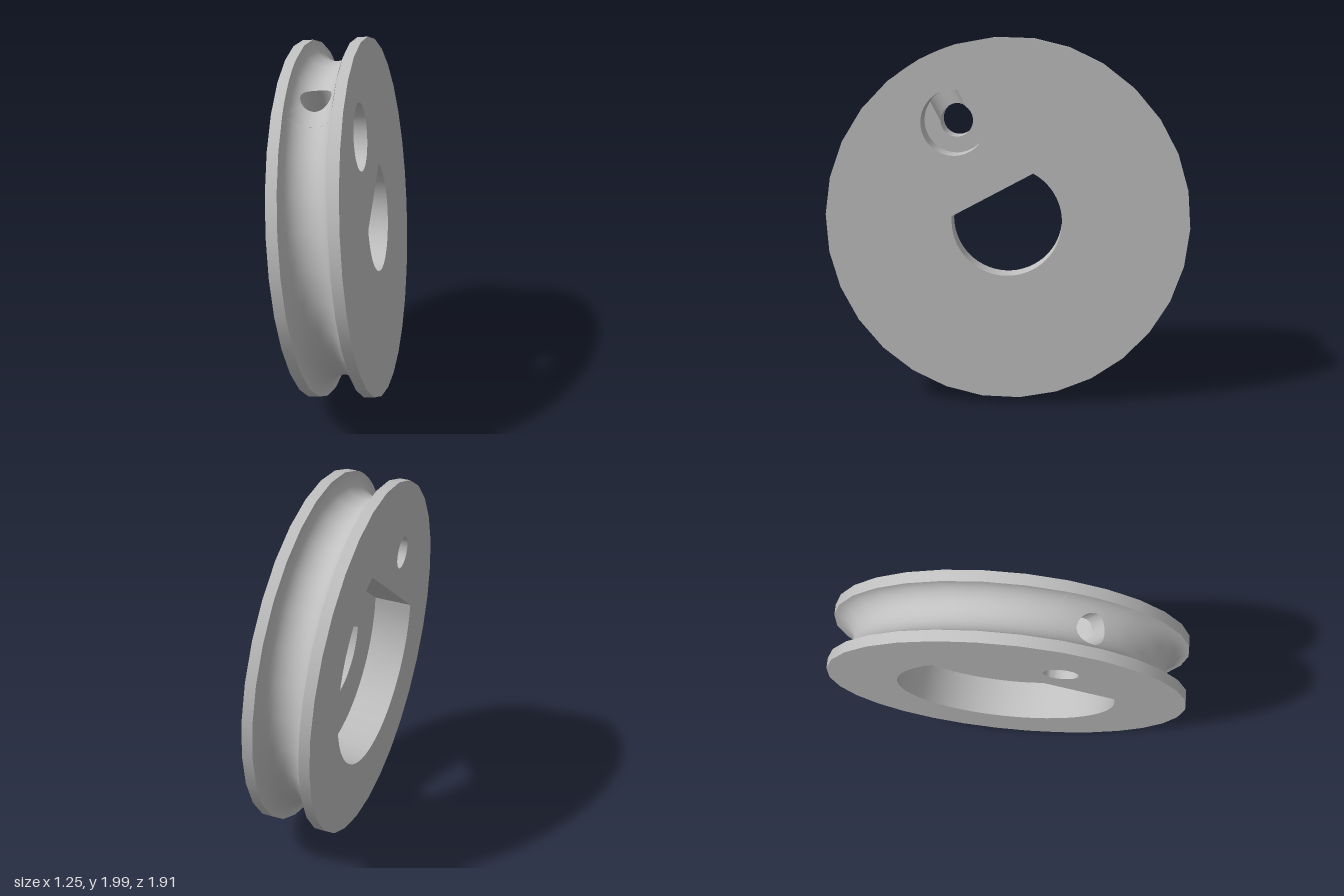
import * as THREE from 'three';
import { toCreasedNormals } from 'three/addons/utils/BufferGeometryUtils.js';

const R = 0.985, HALF = 0.18, GROOVE = 0.122, SIDES = 30;
const STEP = (Math.PI * 2) / SIDES;
const POCKET_Y = 0.603, POCKET_R = 0.177, PIN_R = 0.09, CORD_R = 0.08;
const FLOOR_Z = 0.038;

// points along an arc centred on (0, cy)
function arc(r, cy, a0, a1, n) {
  return Array.from({ length: n + 1 }, (_, i) => {
    const a = a0 + ((a1 - a0) * i) / n;
    return new THREE.Vector2(r * Math.cos(a), cy + r * Math.sin(a));
  });
}
const circle = (r, cy, n) => arc(r, cy, Math.PI / 2, Math.PI * 2.5, n).slice(0, -1);

// circle cut by a flat at y = h
function dShape(r, h) {
  const a = Math.asin(h / r);
  return arc(r, 0, Math.PI - a, Math.PI * 2 + a, 40);
}

// skin through closed loops of 3D points, facing inwards
function loft(loops) {
  const n = loops[0].length, idx = [];
  for (let k = 0; k < loops.length - 1; k++) {
    for (let i = 0; i < n; i++) {
      const j = (i + 1) % n, p = k * n, q = p + n;
      idx.push(p + i, q + i, p + j, p + j, q + i, q + j);
    }
  }
  const geo = new THREE.BufferGeometry().setFromPoints(loops.flat());
  geo.setIndex(idx);
  return toCreasedNormals(geo, 0.6);
}

// wall of a hole; z limits are numbers or functions of the outline point
function wall(points, z0, z1) {
  const at = (z) => points.map((p) => new THREE.Vector3(p.x, p.y, typeof z === 'function' ? z(p) : z));
  return loft([at(z0), at(z1)]);
}

// flat plate with holes
function plate(outline, holes, z, flip = false) {
  const shape = new THREE.Shape(outline);
  holes.forEach((h) => shape.holes.push(new THREE.Path(h)));
  const geo = new THREE.ShapeGeometry(shape);
  if (flip) {
    geo.index.array.reverse();
    geo.computeVertexNormals();
  }
  return geo.translate(0, 0, z);
}

// half-height of the cord bore where it cuts a hole wall on its outer side
const boreCut = (p) =>
  p.y > POCKET_Y && Math.abs(p.x) < CORD_R ? Math.sqrt(CORD_R ** 2 - p.x ** 2) : 0;

// point on the groove: angle phi round the wheel, tau across the groove
function groovePoint(phi, tau) {
  const r = R - GROOVE * Math.cos(tau);
  return new THREE.Vector3(r * Math.sin(phi), r * Math.cos(phi), GROOVE * Math.sin(tau));
}

function ring(profile, start = 0, length = Math.PI * 2, segments = SIDES) {
  return new THREE.LatheGeometry(profile, segments, start, length).rotateX(-Math.PI / 2);
}

export function createModel() {
  const metal = new THREE.MeshStandardMaterial({ color: 0xc0c0c0, side: THREE.DoubleSide });
  metal.name = 'plain grey';
  const wheel = new THREE.Group();
  wheel.name = 'pulleyWheel';
  const add = (name, geo) => {
    const mesh = new THREE.Mesh(geo, metal);
    mesh.name = name;
    wheel.add(mesh);
  };

  const rim = circle(R, 0, SIDES);
  const shaft = dShape(0.298, 0.164);
  const hub = dShape(0.6, 0.375);
  const pocket = circle(POCKET_R, POCKET_Y, 60);
  const pin = circle(PIN_R, POCKET_Y, 60);

  // side faces
  add('pocketSideFace', plate(rim, [shaft, pocket], HALF));
  add('hubSideFace', plate(rim, [hub, pin], -HALF, true));

  // flat lips on both edges of the rim
  for (const [name, y0, y1] of [['hubSideLip', GROOVE, HALF], ['pocketSideLip', -HALF, -GROOVE]]) {
    add(name, ring([new THREE.Vector2(R, y0), new THREE.Vector2(R, y1)]));
  }

  // round groove, left open where the cord bore comes out
  const profile = Array.from({ length: 25 }, (_, i) => {
    const t = -Math.PI / 2 + (Math.PI * i) / 24;
    return new THREE.Vector2(R - GROOVE * Math.cos(t), GROOVE * Math.sin(t));
  });
  add('groove', ring(profile, STEP, Math.PI * 2 - 2 * STEP, SIDES - 2));

  // groove patch round the bore, and the bore itself
  const patch = Array.from({ length: 9 }, () => []);
  const boreOuter = [], boreInner = [];
  for (let i = 0; i < 64; i++) {
    const a = (i / 64) * Math.PI * 2;
    const x = CORD_R * Math.cos(a), z = CORD_R * Math.sin(a);
    const tau = Math.asin(z / GROOVE);
    const phi = Math.asin(x / (R - GROOVE * Math.cos(tau)));
    const reach = 1 / Math.max(Math.abs(phi) / STEP, Math.abs(tau) / (Math.PI / 2));
    patch.forEach((loop, k) => {
      const s = reach + ((1 - reach) * k) / 8;
      loop.push(groovePoint(phi * s, tau * s));
    });
    boreOuter.push(groovePoint(phi, tau));
    const r = z > 1e-6 ? POCKET_R : PIN_R;
    boreInner.push(new THREE.Vector3(x, POCKET_Y + Math.sqrt(r * r - x * x), z));
  }
  add('groovePatch', loft(patch));
  add('cordBore', loft([boreOuter, boreInner]));

  // hub recess and shaft hole
  add('hubRecessWall', wall(hub, -HALF, FLOOR_Z));
  add('hubRecessFloor', plate(hub, [shaft], FLOOR_Z, true));
  add('shaftHoleWall', wall(shaft, FLOOR_Z, HALF));

  // knot pocket, its slotted floor, and the pin hole behind it
  add('pocketWall', wall(pocket, boreCut, HALF));
  add('pinHoleWall', wall(pin, -HALF, (p) => -boreCut(p)));
  const a1 = Math.acos(CORD_R / POCKET_R), a2 = Math.acos(CORD_R / PIN_R);
  add('pocketFloor', plate([
    ...arc(POCKET_R, POCKET_Y, Math.PI - a1, Math.PI * 2 + a1, 48),
    ...arc(PIN_R, POCKET_Y, Math.PI * 2 + a2, Math.PI - a2, 48),
  ], [], 0));

  // tilt the wheel: axis direction, then spin about it
  const axis = new THREE.Vector3(0.882, 0.09, -0.4625).normalize();
  const side = new THREE.Vector3(0, 1, 0).cross(axis).normalize();
  const up = axis.clone().cross(side);
  const tilt = new THREE.Matrix4().makeBasis(side, up, axis);
  tilt.multiply(new THREE.Matrix4().makeRotationZ(THREE.MathUtils.degToRad(28.4)));
  wheel.quaternion.setFromRotationMatrix(tilt);
  wheel.position.y = 1;

  const model = new THREE.Group();
  model.name = 'pulley';
  model.add(wheel);
  return model;
}
